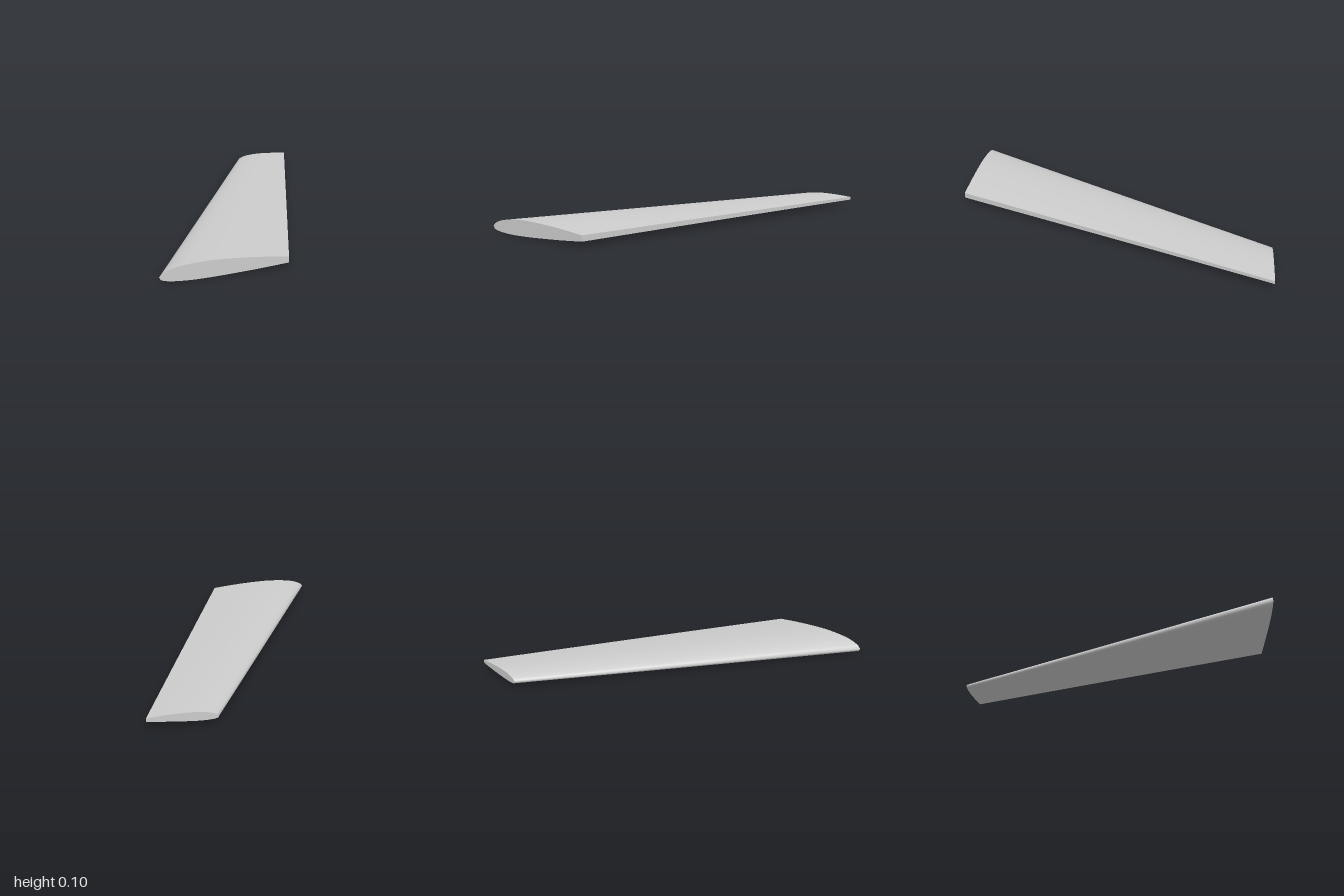
import * as THREE from 'three';

// Root aerofoil, upper trailing edge -> nose -> lower trailing edge: [chord fraction, height]
const PROFILE = [
  [1, 0.066], [0.8, 0.081], [0.6, 0.092], [0.41, 0.097], [0.24, 0.092], [0.12, 0.08], [0.045, 0.062], [0.01, 0.045],
  [0, 0.031], [0.012, 0.021], [0.05, 0.012], [0.12, 0.005], [0.24, 0.001], [0.4, 0.003], [0.6, 0.01], [0.8, 0.019], [1, 0.031],
];
const SEGMENTS = 64;
const SPANS = 8;
const ROOT = { x: -0.71, chord: 0.70, lift: 0, twist: 0, z: 1 };
const TIP = { x: 0.33, chord: 0.38, lift: 0.018, twist: 0.03, z: -1 };

const outline = new THREE.CatmullRomCurve3(
  PROFILE.map(([u, y]) => new THREE.Vector3(u * ROOT.chord, y, 0)), false, 'centripetal',
).getSpacedPoints(SEGMENTS);

// Cross-section at span position t (0 root, 1 tip): scaled, swept and slightly twisted
function section(t) {
  const mix = (key) => THREE.MathUtils.lerp(ROOT[key], TIP[key], t);
  const scale = mix('chord') / ROOT.chord;
  return outline.map((p) => {
    const x = p.x * scale;
    const y = p.y * scale + mix('lift') + (x - 0.4 * mix('chord')) * mix('twist');
    return new THREE.Vector3(mix('x') + x, y, mix('z'));
  });
}

function build(points, index) {
  const g = new THREE.BufferGeometry().setFromPoints(points);
  g.setIndex(index);
  g.computeVertexNormals();
  return g;
}

// Strip of quads between consecutive rows of points
function loft(rows) {
  const n = rows[0].length;
  const index = [];
  for (let r = 0; r < rows.length - 1; r++) {
    for (let i = 0; i < n - 1; i++) {
      const a = r * n + i, b = a + 1, c = a + n, d = c + 1;
      index.push(a, c, b, b, c, d);
    }
  }
  return build(rows.flat(), index);
}

// Flat end closed as a fan around its middle
function cap(points, flip) {
  const centre = new THREE.Vector3();
  points.forEach((p) => centre.addScaledVector(p, 1 / points.length));
  const n = points.length;
  const index = [];
  for (let i = 0; i < n; i++) {
    const j = (i + 1) % n;
    index.push(n, flip ? j : i, flip ? i : j);
  }
  return build([...points, centre], index);
}

export function createModel() {
  const wing = new THREE.Group();
  wing.name = 'wing';
  const grey = new THREE.MeshStandardMaterial({ color: 0xcccccc });
  grey.name = 'light grey';
  const add = (name, geometry) => {
    const mesh = new THREE.Mesh(geometry, grey);
    mesh.name = name;
    wing.add(mesh);
  };

  const rows = Array.from({ length: SPANS + 1 }, (_, i) => section(i / SPANS));
  add('wingSkin', loft(rows));
  add('trailingEdge', loft(rows.map((row) => [row[SEGMENTS], row[0]])));
  add('rootCap', cap(rows[0], false));
  add('tipCap', cap(rows[SPANS], true));
  return wing;
}
